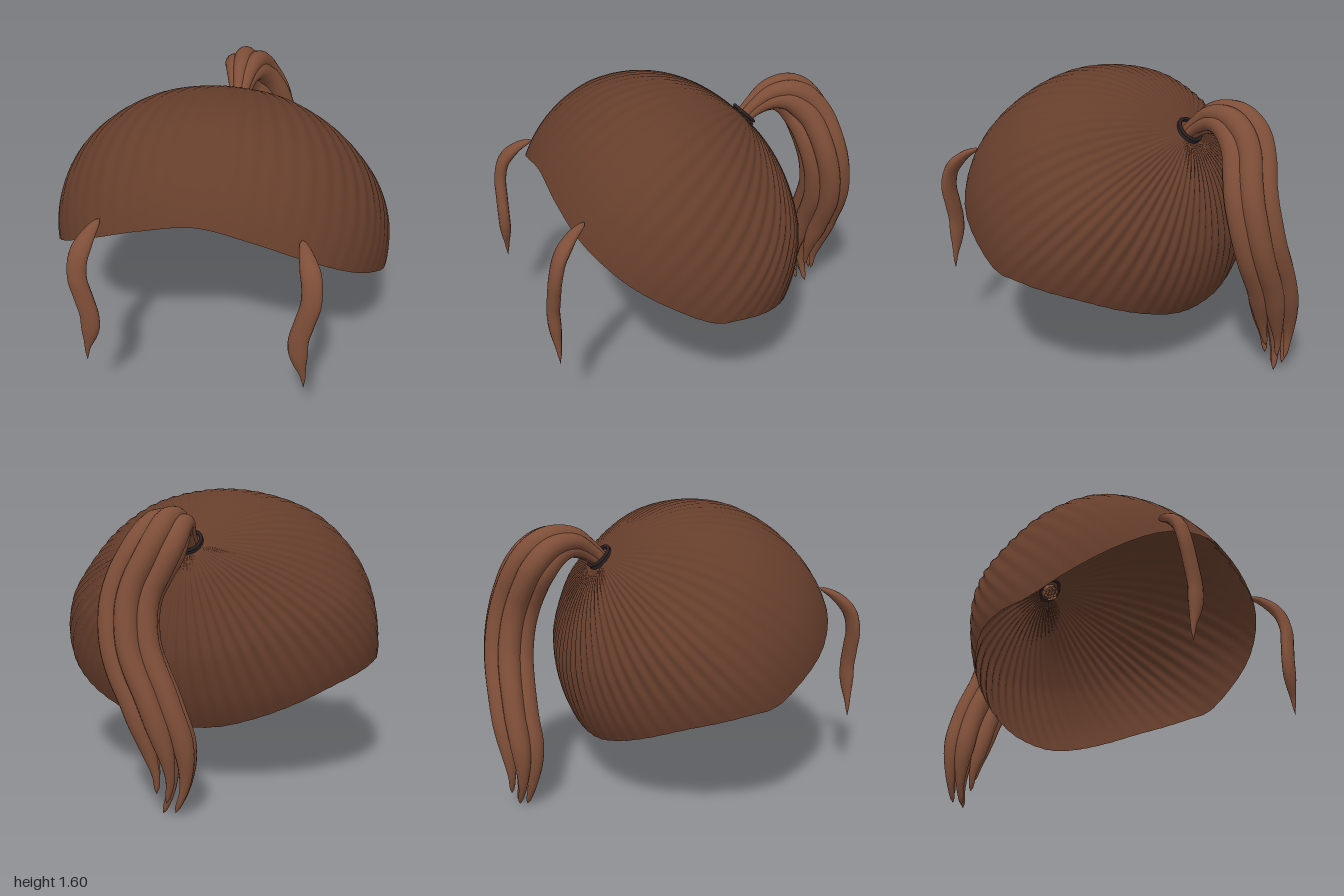
import * as THREE from 'three';

const V = (x, y, z) => new THREE.Vector3(x, y, z);
const smooth = THREE.MathUtils.smoothstep;
const material = (color) => new THREE.MeshStandardMaterial({ color, side: THREE.DoubleSide });

// Smooth surface from rows of closed loops; point(t, u) runs along t and around u
function loft(rows, cols, point) {
  const pos = [], index = [];
  for (let i = 0; i <= rows; i++) {
    for (let j = 0; j < cols; j++) pos.push(...point(i / rows, j / cols).toArray());
  }
  for (let i = 0; i < rows; i++) {
    for (let j = 0; j < cols; j++) {
      const k = (j + 1) % cols;
      const a = i * cols + j, b = i * cols + k, c = a + cols, d = b + cols;
      index.push(a, b, c, b, d, c);
    }
  }
  const g = new THREE.BufferGeometry();
  g.setAttribute('position', new THREE.Float32BufferAttribute(pos, 3));
  g.setIndex(index);
  g.computeVertexNormals();
  return g;
}

// Side and normal directions across a path
function frame(curve, t) {
  const T = curve.getTangentAt(t);
  const S = V(1, 0, 0).addScaledVector(T, -T.x).normalize();
  return { S, N: T.clone().cross(S) };
}

// Tapered lock of hair with an oval section; size(t) gives [half width, half thickness]
function lock(points, size, rows = 48, cols = 14) {
  const curve = new THREE.CatmullRomCurve3(points);
  return loft(rows, cols, (t, u) => {
    const { S, N } = frame(curve, t);
    const [w, h] = size(t);
    const a = u * Math.PI * 2;
    return curve.getPointAt(t).addScaledVector(S, w * Math.cos(a)).addScaledVector(N, h * Math.sin(a));
  });
}

// Hair cap: an ellipsoid swept from the tie point to the hairline, with strand ripples
function capGeometry() {
  const center = V(0, 0.8, 0.2), axes = V(0.922, 0.795, 0.745);
  const half = [
    [0, 0.33, -0.44], [0.2, 0.345, -0.43], [0.4, 0.4, -0.395], [0.6, 0.48, -0.32], [0.78, 0.57, -0.18],
    [0.88, 0.62, -0.04], [0.92, 0.65, 0.1], [0.92, 0.67, 0.25], [0.85, 0.78, 0.46], [0.73, 0.9, 0.64],
    [0.53, 1.04, 0.785], [0.28, 1.15, 0.845], [0, 1.21, 0.855],
  ].map((p) => V(...p));
  const mirrored = half.slice(1, -1).reverse().map((p) => V(-p.x, p.y, p.z));
  const rim = new THREE.CatmullRomCurve3([...half, ...mirrored], true);
  rim.arcLengthDivisions = 1000;

  const toUnit = (p) => p.clone().sub(center).divide(axes);
  const pole = toUnit(V(0, 1.31, -0.33));
  const poleDir = pole.clone().normalize();
  const strands = 60, cols = strands * 7;
  const edge = Array.from({ length: cols }, (_, j) => toUnit(rim.getPointAt(j / cols)));

  return loft(32, cols, (t, u) => {
    const end = edge[Math.round(u * cols)];
    const endDir = end.clone().normalize();
    const angle = poleDir.angleTo(endDir);
    const p = poleDir.clone().multiplyScalar(Math.sin((1 - t) * angle))
      .addScaledVector(endDir, Math.sin(t * angle)).divideScalar(Math.sin(angle));
    const radius = THREE.MathUtils.lerp(pole.length(), end.length(), Math.min(1, t * 1.6));
    // fuller front corners, flatter back
    const corner = p.z > 0 ? 1 + 0.1 * p.x * p.x * p.z * p.z : 1;
    if (p.z < 0) p.z *= 1 - 0.035 * Math.sin(Math.PI * t);
    // ripples are deepest at the back and fade towards the tie and the hairline
    const depth = (0.003 + 0.005 * Math.cos(Math.PI * u) ** 2) * smooth(t, 0, 0.35) * (1 - 0.8 * smooth(t, 0.65, 1));
    const ripple = 1 - depth * Math.cos(2 * Math.PI * strands * u);
    return p.multiplyScalar(radius * corner * ripple).multiply(axes).add(center);
  });
}

export function createModel() {
  const group = new THREE.Group();
  const capHair = material(0x653d2b), looseHair = material(0x7e4e38), band = material(0x2a2022);
  const add = (name, geometry, mat, parent = group) => {
    const mesh = new THREE.Mesh(geometry, mat);
    mesh.name = name;
    parent.add(mesh);
    return mesh;
  };

  add('hairCap', capGeometry(), capHair);

  // Hair tie: two thin stacked rings
  for (const k of [0, 1]) {
    const ring = add('hairTie', new THREE.TorusGeometry(0.07, 0.009, 10, 40), band);
    ring.position.set(0, 1.315 + k * 0.013, -0.325 - k * 0.013);
    ring.rotation.x = -Math.PI * 0.75;
  }

  // Ponytail: strands bundled around a swaying spine
  const ponytail = new THREE.Group();
  ponytail.name = 'ponytail';
  group.add(ponytail);
  const spine = new THREE.CatmullRomCurve3([
    V(0, 1.29, -0.31), V(0, 1.38, -0.42), V(0, 1.42, -0.55), V(0.02, 1.33, -0.69), V(0.12, 1.08, -0.785),
    V(0.1, 0.82, -0.84), V(-0.02, 0.55, -0.86), V(-0.1, 0.32, -0.85), V(-0.12, 0.15, -0.855), V(-0.08, 0, -0.87),
  ]);
  const spread = (t) => 0.025 + 0.07 * smooth(t, 0, 0.28) - 0.035 * smooth(t, 0.8, 1);
  const strandSize = (t) => {
    const r = 0.026 + 0.036 * smooth(t, 0, 0.25) - 0.006 * smooth(t, 0.5, 0.8);
    const taper = 1 - 0.75 * smooth(t, 0.78, 1);
    const tip = Math.sqrt(Math.min(1, (1 - t) / 0.02));
    return [r * taper * tip, r * taper * tip];
  };
  const lengths = [0.91, 0.95, 0.99, 0.98, 0.96, 0.95, 1];
  lengths.forEach((length, i) => {
    const a = (i / 6) * Math.PI * 2 + 0.3;
    const reach = i === 6 ? 0 : 1;
    const points = Array.from({ length: 17 }, (_, k) => {
      const t = (k / 16) * length;
      const { S, N } = frame(spine, t);
      const r = spread(t) * reach;
      return spine.getPointAt(t).addScaledVector(S, r * Math.cos(a) * 1.1).addScaledVector(N, r * Math.sin(a) * 0.85);
    });
    add('ponytailStrand', lock(points, strandSize, 72, 16), looseHair, ponytail);
  });

  // Wavy face-framing locks, mirrored
  for (const side of [-1, 1]) {
    const points = [
      [0.505, 1.15, 0.77], [0.54, 1.105, 0.85], [0.575, 1.02, 0.925], [0.58, 0.91, 0.957], [0.555, 0.8, 0.965],
      [0.53, 0.68, 0.97], [0.54, 0.56, 0.968], [0.562, 0.46, 0.965], [0.568, 0.38, 0.965],
    ].map(([x, y, z]) => V(side * x, y, z));
    const size = (t) => {
      const root = Math.min(1, Math.sqrt(t / 0.2)), tip = Math.min(1, (1 - t) / 0.06);
      const w = 0.051 * (1 - 0.8 * smooth(t, 0.7, 0.96));
      const h = 0.033 * (1 - 0.75 * smooth(t, 0.72, 0.98));
      return [w * root * tip, h * root * tip];
    };
    add(side > 0 ? 'leftFrontLock' : 'rightFrontLock', lock(points, size), looseHair);
  }
  return group;
}
